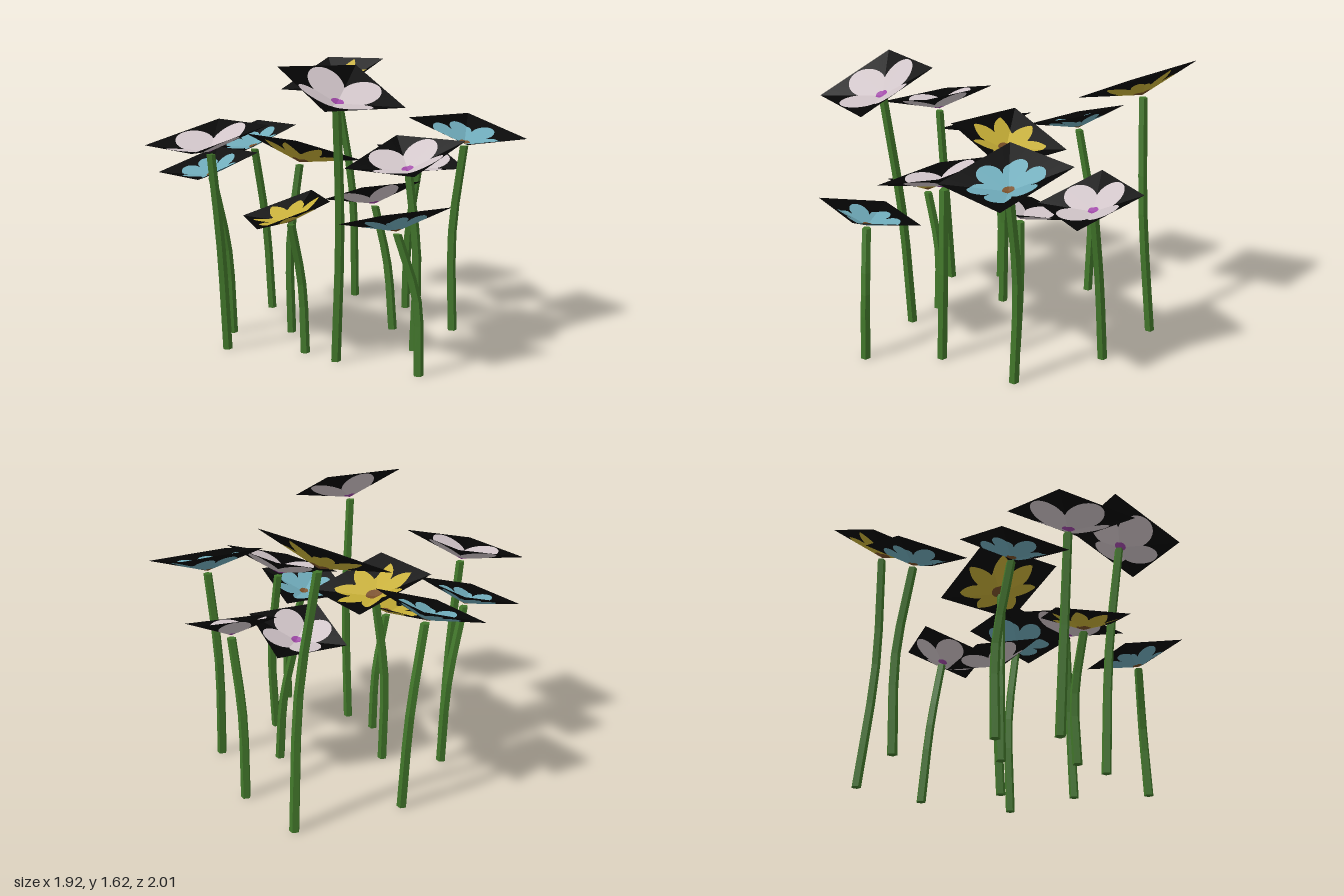
import * as THREE from 'three';

const mat = (name, color, side = THREE.DoubleSide) => {
  const m = new THREE.MeshStandardMaterial({ color, side, flatShading: true });
  m.name = name;
  return m;
};

// Lobed outline: n petals, first one pointing along angle a0; f gives radius from t in 0 (tip) .. 1 (notch)
const lobes = (n, a0, f) => (a) => {
  const step = (Math.PI * 2) / n;
  let d = (a - a0) / step;
  d -= Math.round(d);
  return f(Math.abs(d) * 2);
};

const KINDS = {
  white: {
    core: 0.14,
    outline: lobes(4, 0, (t) => {
      const a = (t * Math.PI) / 4, s = 0.55 * Math.sin(a);
      return 0.55 * Math.cos(a) + Math.sqrt(0.42 * 0.42 - s * s);
    }),
  },
  yellow: { core: 0.2, outline: lobes(7, -Math.PI / 2, (t) => 0.5 + 0.45 * Math.pow(1 - t, 0.8)) },
  blue: { core: 0.13, outline: lobes(6, Math.PI / 2, (t) => 0.5 + 0.33 * Math.pow(Math.max(0, Math.cos((t * Math.PI) / 2)), 0.6)) },
};

// kind, centre of the card corners [x, y, z], card side, yaw, slopes dy/dx and dy/dz, stem base [x, z], stem middle [x, z]
const FLOWERS = [
  ['yellow', [-0.652, 1.52, -0.51], 0.495, 0.145, -0.063, -0.44, [-0.655, -0.71], [-0.61, -0.645]],
  ['yellow', [-0.195, 1.125, 0.07], 0.497, 0, 0, 0.31, [-0.22, 0.15], [-0.23, 0.15]],
  ['yellow', [0.14, 0.84, 0.448], 0.42, -0.41, 0.13, -0.3, [0.155, 0.33], [0.14, 0.34]],
  ['blue', [-0.748, 1.15, 0.077], 0.43, 0, 0, -0.34, [-0.75, -0.08], [-0.775, -0.055]],
  ['blue', [-0.43, 1.05, 0.588], 0.427, 0.02, 0, -0.295, [-0.435, 0.43], [-0.45, 0.45]],
  ['blue', [0.442, 1.24, -0.655], 0.498, 0, -0.25, 0, [0.36, -0.64], [0.345, -0.64]],
  ['blue', [0.73, 0.853, 0.173], 0.43, -0.112, 0.27, 0.03, [0.85, 0.1], [0.83, 0.1]],
  ['white', [-0.173, 1.24, 0.755], 0.5, 0, 0, -0.25, [-0.18, 0.635], [-0.17, 0.675]],
  ['white', [-0.063, 1.015, -0.757], 0.42, -0.235, -0.31, -0.067, [-0.2, -0.765], [-0.165, -0.75]],
  ['white', [0.472, 1.125, -0.133], 0.488, 0.168, -0.055, -0.32, [0.51, -0.18], [0.505, -0.2]],
  ['white', [0.53, 1.522, 0.37], 0.495, -0.09, -0.45, -0.036, [0.385, 0.29], [0.43, 0.3]],
  ['white', [0, 0.85, -0.3], 0.428, -0.1, 0.31, 0.03, [0.115, -0.37], [0.08, -0.355]],
];

const RAYS = 96; // multiple of eight, so rays fall on the card's diagonals
const DIP = 0.19;

// Band of the dished square card between two outlines (radii relative to half the side)
function band(side, inner, outer) {
  const h = side / 2, pos = [];
  const point = (i, f) => {
    const a = (i / RAYS) * Math.PI * 2, r = f(a);
    const x = r * Math.cos(a), z = r * Math.sin(a);
    return [x * h, DIP * side * (Math.max(Math.abs(x), Math.abs(z)) - 1), z * h];
  };
  for (let i = 0; i < RAYS; i++) {
    const a = point(i, inner), b = point(i + 1, inner), c = point(i + 1, outer), d = point(i, outer);
    pos.push(...a, ...c, ...d);
    if (inner !== zero) pos.push(...a, ...b, ...c);
  }
  const g = new THREE.BufferGeometry();
  g.setAttribute('position', new THREE.Float32BufferAttribute(pos, 3));
  g.computeVertexNormals();
  return g;
}
const zero = () => 0;
const edge = (a) => 1 / Math.max(Math.abs(Math.cos(a)), Math.abs(Math.sin(a)));

// Bent stem: a five-sided prism whose rings follow a curve
function stemGeometry(base, mid, top) {
  const curve = new THREE.CatmullRomCurve3([
    new THREE.Vector3(base[0], 0, base[1]),
    new THREE.Vector3(mid[0], top.y * 0.53, mid[1]),
    top,
  ]);
  const g = new THREE.CylinderGeometry(0.026, 0.029, 1, 5, 6);
  const p = g.attributes.position;
  for (let i = 0; i < p.count; i++) {
    const c = curve.getPoint(THREE.MathUtils.clamp(p.getY(i) + 0.5, 0, 1));
    p.setXYZ(i, p.getX(i) + c.x, c.y, p.getZ(i) + c.z);
  }
  g.computeVertexNormals();
  return g;
}

export function createModel() {
  const model = new THREE.Group();
  model.name = 'flowerPatch';
  const mats = {
    stem: mat('stemGreen', 0x41762a, THREE.FrontSide),
    card: mat('cardBlack', 0x050505),
    white: mat('petalWhite', 0xd0c4c8),
    yellow: mat('petalYellow', 0xc6ae36),
    blue: mat('petalBlue', 0x6fabba),
    brown: mat('centreBrown', 0x7a5029),
    purple: mat('centrePurple', 0xa048a8),
  };
  const up = new THREE.Vector3(0, 1, 0);

  for (const [kind, centre, side, yaw, sx, sz, base, mid] of FLOWERS) {
    const flower = new THREE.Group();
    flower.name = kind + 'Flower';
    const add = (parent, name, geometry, material) => {
      const mesh = new THREE.Mesh(geometry, material);
      mesh.name = name;
      parent.add(mesh);
    };

    // Tilted head: centre, petals and dark card share one dished surface
    const { core, outline } = KINDS[kind];
    const disc = () => core;
    const head = new THREE.Group();
    head.name = 'head';
    add(head, 'centre', band(side, zero, disc), kind === 'white' ? mats.purple : mats.brown);
    add(head, 'petals', band(side, disc, outline), mats[kind]);
    add(head, 'card', band(side, outline, edge), mats.card);
    const normal = new THREE.Vector3(-sx, 1, -sz).normalize();
    head.position.set(...centre);
    head.quaternion.setFromUnitVectors(up, normal)
      .multiply(new THREE.Quaternion().setFromAxisAngle(up, yaw));
    flower.add(head);

    // Stem ends just under the lowest point of the head
    const top = head.position.clone().addScaledVector(normal, -DIP * side - 0.015);
    add(flower, 'stem', stemGeometry(base, mid, top), mats.stem);
    model.add(flower);
  }
  return model;
}
